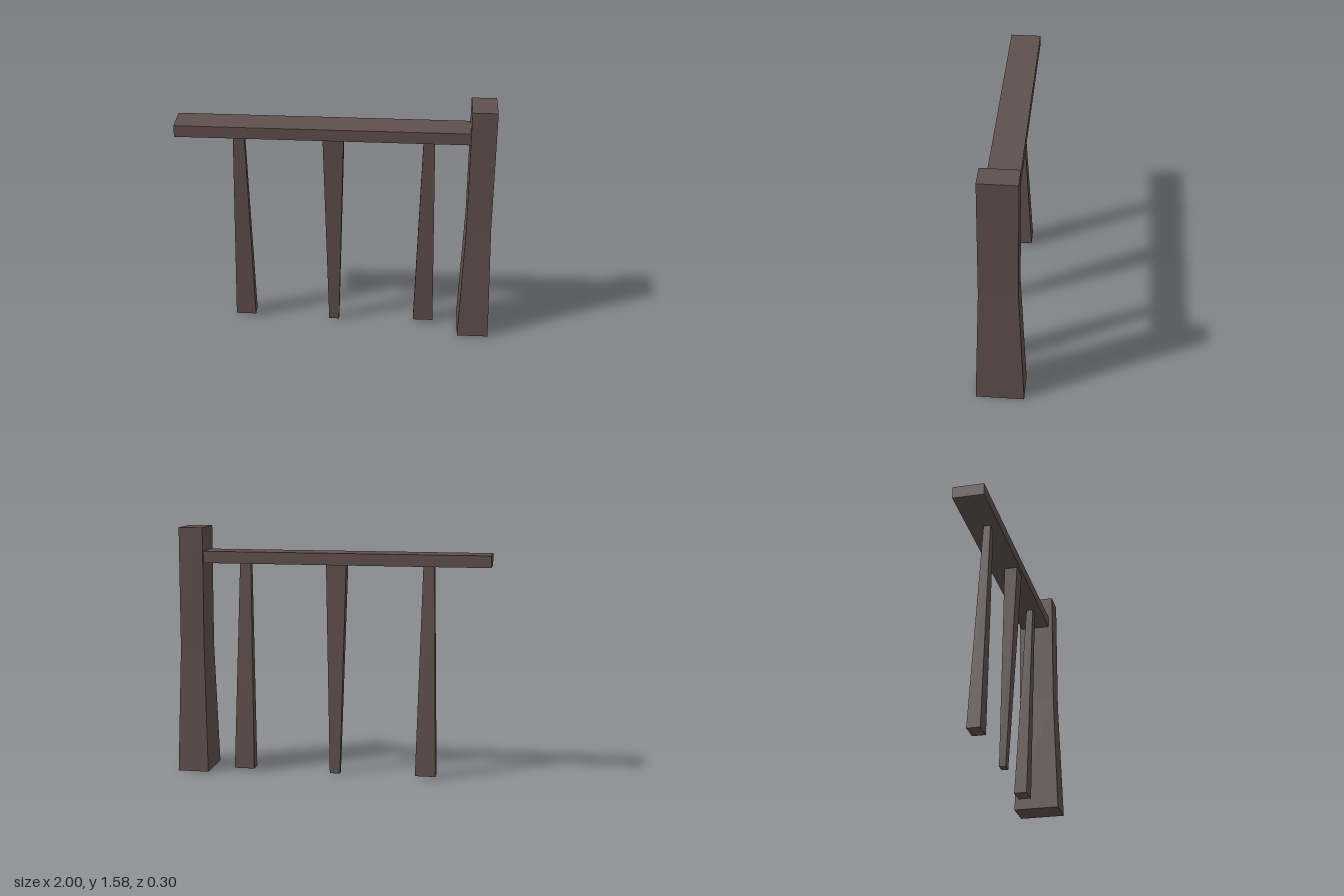
import * as THREE from 'three';

const wood = new THREE.MeshStandardMaterial({ color: 0x5f504c, flatShading: true });

// Four-sided beam through rectangular sections [y, xMin, xMax, zMin, zMax], bottom to top
function taperedBeam(name, sections) {
  const positions = [];
  const index = [];
  for (const [y, x0, x1, z0, z1] of sections) {
    positions.push(x0, y, z1, x1, y, z1, x1, y, z0, x0, y, z0);
  }
  const quad = (a, b, c, d) => index.push(a, b, c, a, c, d);
  for (let s = 0; s < sections.length - 1; s++) {
    for (let i = 0; i < 4; i++) {
      const a = s * 4 + i;
      const b = s * 4 + (i + 1) % 4;
      quad(a, b, b + 4, a + 4);
    }
  }
  const t = (sections.length - 1) * 4;
  quad(3, 2, 1, 0);
  quad(t, t + 1, t + 2, t + 3);

  const indexed = new THREE.BufferGeometry();
  indexed.setAttribute('position', new THREE.Float32BufferAttribute(positions, 3));
  indexed.setIndex(index);
  const geometry = indexed.toNonIndexed();
  geometry.computeVertexNormals();
  const mesh = new THREE.Mesh(geometry, wood);
  mesh.name = name;
  return mesh;
}

export function createModel() {
  const group = new THREE.Group();
  group.name = 'railing';

  // End post: flared foot, straight upper half
  group.add(taperedBeam('endPost', [
    [0, 0.8, 1, -0.148, 0.15],
    [0.8, 0.825, 0.98, -0.11, 0.126],
    [1.58, 0.825, 0.98, -0.11, 0.126],
  ]));

  // Handrail
  const rail = new THREE.Mesh(new THREE.BoxGeometry(1.83, 0.075, 0.195), wood);
  rail.name = 'handrail';
  rail.position.set(-0.085, 1.3925, 0.003);
  group.add(rail);

  // Outer balusters, wide at the foot
  for (const [name, x] of [['rightBaluster', -0.607], ['leftBaluster', 0.574]]) {
    group.add(taperedBeam(name, [
      [0.017, x - 0.065, x + 0.065, -0.08, 0.003],
      [1.36, x - 0.035, x + 0.035, 0.004, 0.048],
    ]));
  }

  // Middle baluster, turned upside down so it is wide at the top
  group.add(taperedBeam('middleBaluster', [
    [0, -0.05, 0.016, -0.042, 0],
    [1.36, -0.082, 0.048, 0, 0.083],
  ]));

  return group;
}
